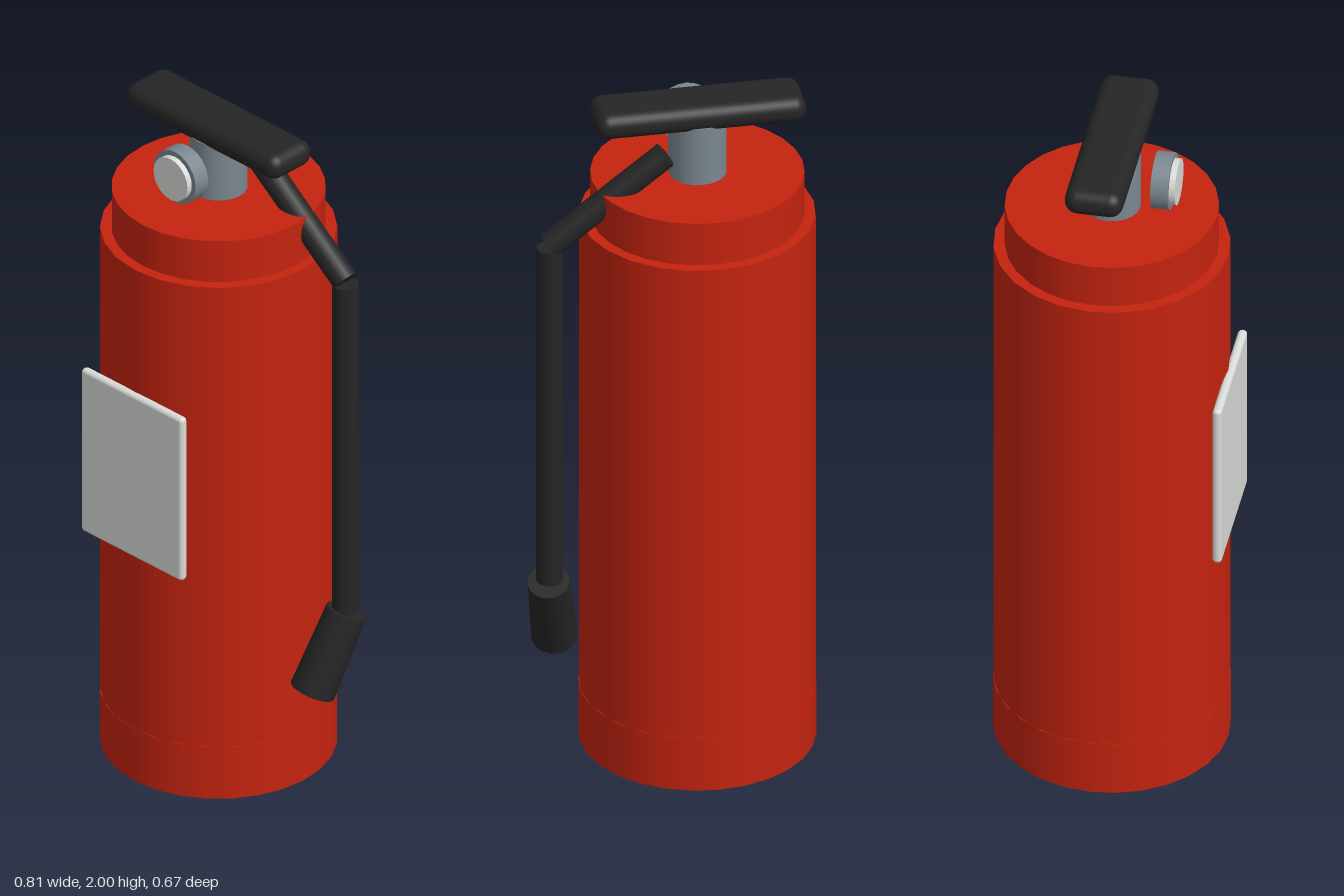
import * as THREE from 'three';
import { RoundedBoxGeometry } from 'three/addons/geometries/RoundedBoxGeometry.js';

const CX = -0.082, CZ = -0.009; // axis of the tank

export function createModel() {
  const group = new THREE.Group();
  const mat = (name, color) => {
    const m = new THREE.MeshStandardMaterial({ color });
    m.name = name;
    return m;
  };
  const red = mat('red paint', 0xc4230f);
  const black = mat('black rubber', 0x252525);
  const steel = mat('grey steel', 0x7b8790);
  const pale = mat('pale label', 0xd9dcd8);

  const add = (name, geometry, material, x = 0, y = 0, z = 0) => {
    const mesh = new THREE.Mesh(geometry, material);
    mesh.name = name;
    mesh.position.set(x, y, z);
    group.add(mesh);
    return mesh;
  };
  // Upright cylinder on the tank axis, between two heights
  const drum = (name, r, y0, y1, sides, material) =>
    add(name, new THREE.CylinderGeometry(r, r, y1 - y0, sides), material, CX, (y0 + y1) / 2, CZ);
  // Cylinder between two points
  const rod = (name, from, to, rFrom, rTo, material, sides = 20) => {
    const a = new THREE.Vector3(...from), b = new THREE.Vector3(...to);
    const dir = b.clone().sub(a);
    const mesh = add(name, new THREE.CylinderGeometry(rTo, rFrom, dir.length(), sides), material);
    mesh.position.copy(a).add(b).multiplyScalar(0.5);
    mesh.quaternion.setFromUnitVectors(new THREE.Vector3(0, 1, 0), dir.normalize());
    return mesh;
  };

  // Tank
  drum('baseBand', 0.325, 0, 0.165, 28, red);
  drum('tank', 0.324, 0.165, 1.635, 24, red);
  drum('shoulder', 0.293, 1.635, 1.765, 28, red);
  drum('neck', 0.08, 1.765, 1.94, 20, steel);

  // Handle and label
  add('handle', new RoundedBoxGeometry(0.585, 0.077, 0.162, 4, 0.036), black, CX, 1.9615, CZ);
  add('label', new RoundedBoxGeometry(0.388, 0.52, 0.026, 3, 0.012), pale, CX, 0.985, 0.319);

  // Pressure gauge
  rod('gaugeBody', [CX, 1.866, 0.112], [CX, 1.866, 0.161], 0.08, 0.08, steel, 24);
  rod('gaugeFace', [CX, 1.866, 0.161], [CX, 1.866, 0.178], 0.065, 0.065, pale, 24);

  // Hose and nozzle
  rod('upperHose', [0.02, 1.862, -0.073], [0.342, 1.613, -0.073], 0.037, 0.037, black);
  rod('lowerHose', [0.341, 1.606, -0.073], [0.341, 0.56, -0.073], 0.037, 0.037, black);
  rod('nozzle', [0.344, 0.556, -0.074], [0.309, 0.33, 0.022], 0.058, 0.064, black);

  return group;
}
